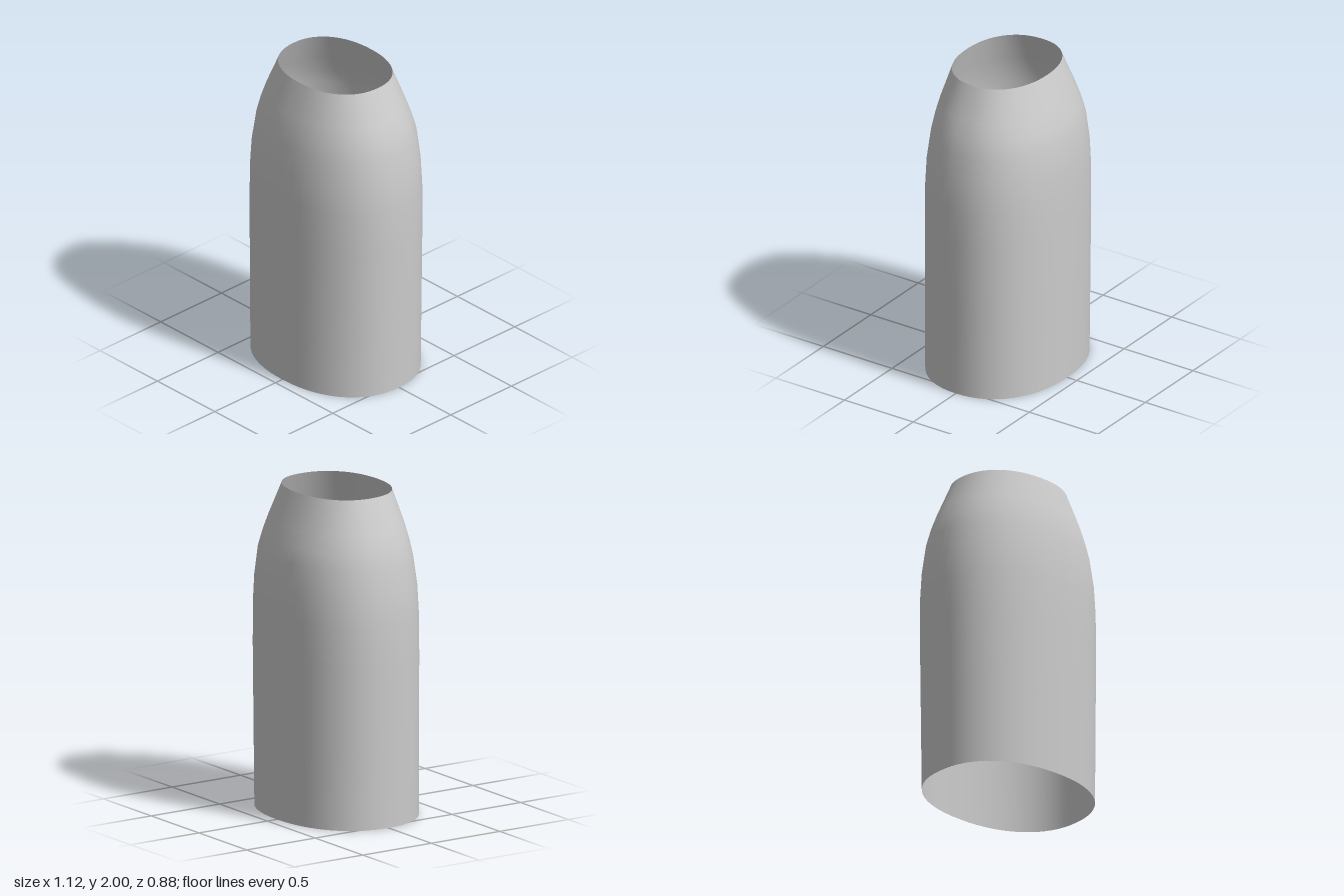
import * as THREE from 'three';

// Levels up the sleeve: height, half width, depth to the front, depth to the back
const LEVELS = [
  [0, 0.55, 0.443, 0.43],
  [0.5, 0.556, 0.442, 0.434],
  [1.0, 0.562, 0.44, 0.438],
  [1.25, 0.56, 0.437, 0.438],
  [1.42, 0.548, 0.43, 0.433],
  [1.6, 0.52, 0.408, 0.416],
  [1.7, 0.493, 0.388, 0.388],
  [1.8, 0.456, 0.364, 0.355],
  [2.0, 0.37, 0.303, 0.284],
];
const SIDES = 64;
const ROUNDNESS = 2 / 2.22; // slightly squarer than an ellipse

const soften = (v) => Math.sign(v) * Math.abs(v) ** ROUNDNESS;

// Loft rounded oval rings into one open tube
function loftSleeve() {
  const positions = [];
  const indices = [];
  LEVELS.forEach(([y, halfWidth, front, back], row) => {
    for (let i = 0; i < SIDES; i++) {
      const a = (i / SIDES) * Math.PI * 2;
      const s = soften(Math.sin(a));
      const c = soften(Math.cos(a));
      positions.push(s * halfWidth, y, c * (c > 0 ? front : back));
      if (row === 0) continue;
      const next = (i + 1) % SIDES;
      const low = (row - 1) * SIDES;
      const high = row * SIDES;
      indices.push(low + i, low + next, high + next, low + i, high + next, high + i);
    }
  });
  const geometry = new THREE.BufferGeometry();
  geometry.setAttribute('position', new THREE.Float32BufferAttribute(positions, 3));
  geometry.setIndex(indices);
  geometry.computeVertexNormals();
  return geometry;
}

export function createModel() {
  const group = new THREE.Group();
  group.name = 'taperedSleeve';

  // Thin shell, open at the top and bottom
  const material = new THREE.MeshStandardMaterial({ color: 0xcccccc, side: THREE.DoubleSide });
  const shell = new THREE.Mesh(loftSleeve(), material);
  shell.name = 'shell';
  group.add(shell);

  return group;
}
